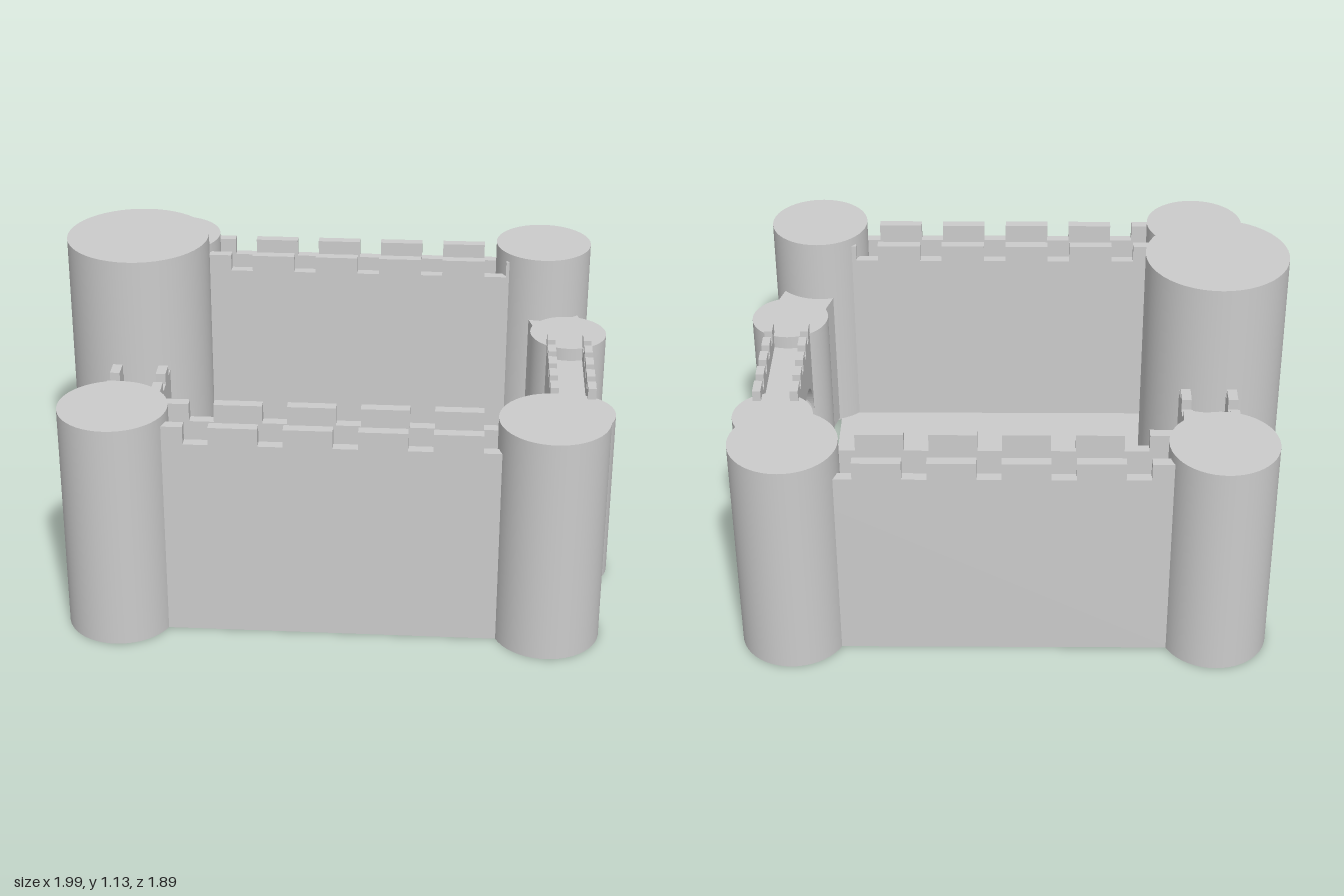
import * as THREE from 'three';

const material = new THREE.MeshStandardMaterial({ color: 0xcccccc });

function add(parent, name, geometry, x = 0, y = 0, z = 0) {
  const mesh = new THREE.Mesh(geometry, material);
  mesh.name = name;
  mesh.position.set(x, y, z);
  parent.add(mesh);
  return mesh;
}

function tower(parent, name, x, z, radius, bottom, top) {
  const height = top - bottom;
  add(parent, name, new THREE.CylinderGeometry(radius, radius, height, 48), x, bottom + height / 2, z);
}

function extrude(shape, depth) {
  return new THREE.ExtrudeGeometry(shape, { depth, bevelEnabled: false, curveSegments: 24 });
}

// Parapet outline with evenly spaced gaps between the merlons
function parapetShape({ from, to, deck, sill, top, firstGap, gap, period }) {
  const s = new THREE.Shape();
  s.moveTo(from, deck);
  s.lineTo(to, deck);
  const gaps = [];
  for (let a = firstGap; a + gap < to; a += period) gaps.push(a);
  s.lineTo(to, top);
  for (const a of gaps.reverse()) {
    s.lineTo(a + gap, top);
    s.lineTo(a + gap, sill);
    s.lineTo(a, sill);
    s.lineTo(a, top);
  }
  s.lineTo(from, top);
  s.closePath();
  return s;
}

// Wall running along local x, centred on local z, with a parapet on each side
function wall(parent, name, body, width, thickness, parapet) {
  const group = new THREE.Group();
  group.name = name;
  add(group, 'wallBody', extrude(body, width), 0, 0, -width / 2);
  const shape = parapetShape(parapet);
  add(group, 'outerParapet', extrude(shape, thickness), 0, 0, width / 2 - thickness);
  add(group, 'innerParapet', extrude(shape, thickness), 0, 0, -width / 2);
  parent.add(group);
  return group;
}

function rectangle(from, to, top) {
  return new THREE.Shape([[from, 0], [to, 0], [to, top], [from, top]].map(p => new THREE.Vector2(...p)));
}

export function createModel() {
  const castle = new THREE.Group();
  castle.name = 'castle';

  // Courtyard floor
  add(castle, 'courtyardFloor', new THREE.BoxGeometry(1.265, 0.006, 1.66), 0.0655, 0.003, 0);

  // Towers
  for (const z of [-0.76, 0.76]) {
    tower(castle, 'cornerTower', -0.725, z, 0.187, 0, 0.83);
    tower(castle, 'cornerTower', 0.76, z, 0.187, 0, 0.83);
  }
  tower(castle, 'keep', -0.742, -0.015, 0.257, 0, 1.13);
  tower(castle, 'gateTower', 0.85, -0.325, 0.145, 0.01, 0.64);
  tower(castle, 'gateTower', 0.85, 0.345, 0.145, 0.01, 0.64);

  // Long walls at front and back
  for (const [name, z] of [['frontWall', 0.73], ['backWall', -0.735]]) {
    wall(castle, name, rectangle(-0.567, 0.66, 0.635), 0.205, 0.037, {
      from: -0.567, to: 0.66, deck: 0.635, sill: 0.73, top: 0.795,
      firstGap: -0.48, gap: 0.085, period: 0.2515,
    }).position.z = z;
  }

  // Short walls either side of the keep
  for (const [from, to, firstGap] of [[0.15, 0.62, 0.189], [-0.62, -0.15, -0.622 + 0.065]]) {
    const side = wall(castle, 'keepWall', rectangle(from, to, 0.62), 0.2, 0.035, {
      from, to, deck: 0.62, sill: 0.695, top: 0.735,
      firstGap: firstGap + (from > 0 ? 0 : 0.002), gap: 0.063, period: 0.132,
    });
    side.rotation.y = -Math.PI / 2;
    side.position.x = -0.71;
  }

  // Arched gate bridge between the gate towers
  const arch = new THREE.Shape();
  arch.moveTo(-0.235, 0.3);
  arch.lineTo(-0.205, 0.3);
  arch.absarc(0.01, 0.275, 0.215, Math.PI - 0.12, 0.12, true);
  arch.lineTo(0.235, 0.3);
  arch.lineTo(0.235, 0.59);
  arch.lineTo(-0.235, 0.59);
  arch.closePath();
  const gate = wall(castle, 'gateBridge', arch, 0.165, 0.03, {
    from: -0.235, to: 0.235, deck: 0.59, sill: 0.64, top: 0.682,
    firstGap: -0.165, gap: 0.04, period: 0.1,
  });
  gate.rotation.y = -Math.PI / 2;
  gate.position.x = 0.848;

  // Slanted walls joining the gate towers to the corner towers
  const flanks = [
    [[[0.69, 0.64], [0.9, 0.64], [0.95, 0.46], [0.75, 0.42]], 0.585],
    [[[0.69, -0.64], [0.9, -0.64], [0.945, -0.44], [0.755, -0.4]], 0.572],
  ];
  for (const [corners, top] of flanks) {
    const shape = new THREE.Shape(corners.map(([x, z]) => new THREE.Vector2(x, -z)));
    add(castle, 'gateFlankWall', extrude(shape, top - 0.01).rotateX(-Math.PI / 2), 0, 0.01, 0);
  }

  return castle;
}
